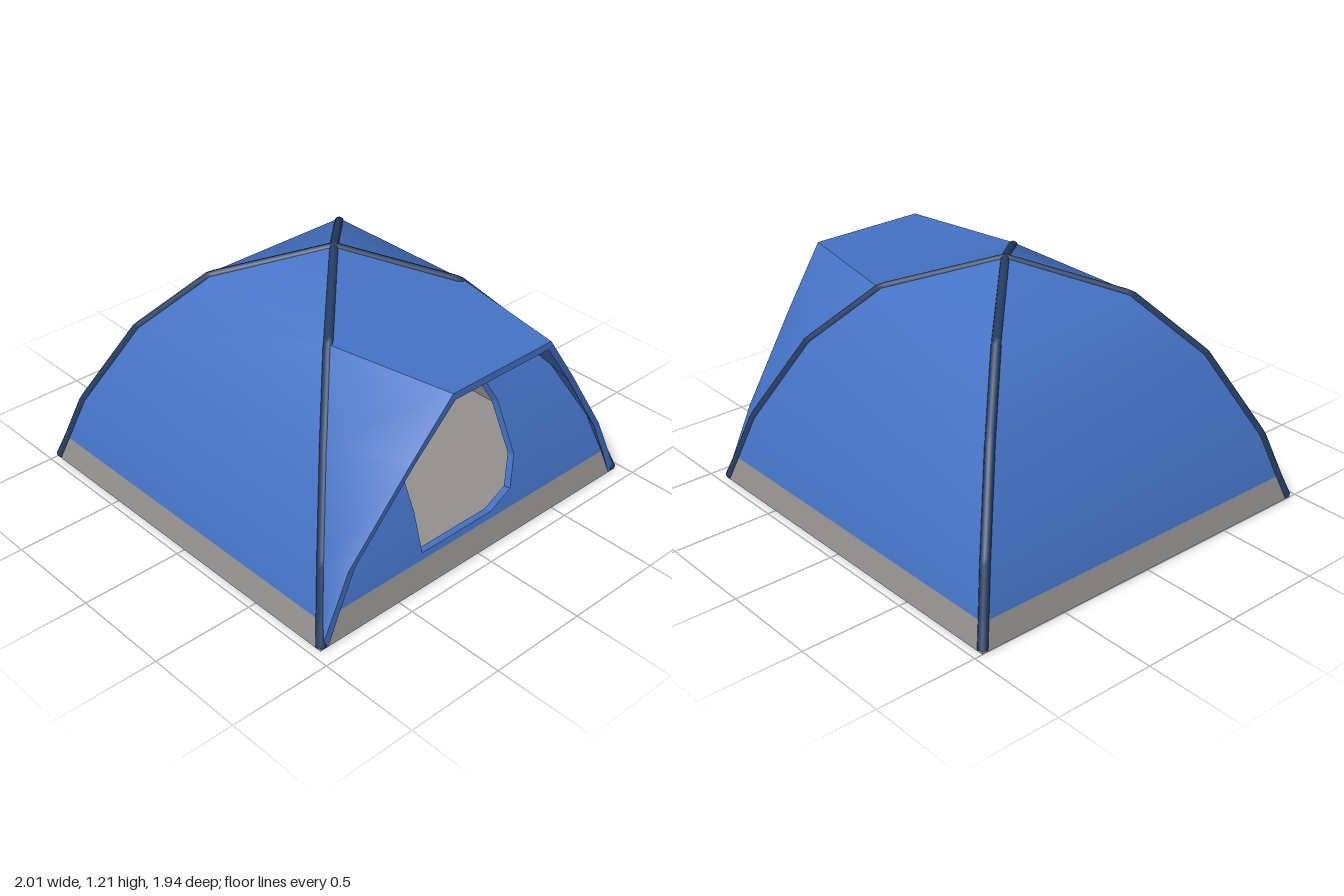
import * as THREE from 'three';
import { mergeVertices } from 'three/addons/utils/BufferGeometryUtils.js';

const CX = -0.04;                       // dome axis
const LEVELS = [[0, 0.96], [0.12, 0.925], [0.34, 0.86], [0.75, 0.66], [1.03, 0.415]]; // y, half width
const APEX = [CX, 1.2, 0];

// Half width of the dome at height y
function halfWidth(y) {
  for (let i = 1; i < LEVELS.length; i++) {
    const [y0, h0] = LEVELS[i - 1], [y1, h1] = LEVELS[i];
    if (y <= y1) return h0 + (h1 - h0) * (y - y0) / (y1 - y0);
  }
  return LEVELS[4][1];
}

// Smooth surface from a list of triangles and quads
function surface(faces) {
  const pos = [];
  for (const f of faces) {
    pos.push(...f[0], ...f[1], ...f[2]);
    if (f.length === 4) pos.push(...f[0], ...f[2], ...f[3]);
  }
  const g = new THREE.BufferGeometry();
  g.setAttribute('position', new THREE.Float32BufferAttribute(pos, 3));
  const merged = mergeVertices(g, 1e-4);
  merged.computeVertexNormals();
  return merged;
}

// Quads between two polylines of equal length
const strip = (a, b) => a.slice(1).map((p, i) => [a[i], b[i], b[i + 1], p]);
const mirrorZ = faces => faces.map(f => f.map(([x, y, z]) => [x, y, -z]));

export function createModel() {
  const tent = new THREE.Group();
  tent.name = 'tent';
  const mat = (name, color) => {
    const m = new THREE.MeshStandardMaterial({ color, side: THREE.DoubleSide });
    m.name = name;
    return m;
  };
  const blue = mat('blueFabric', 0x4472c4);
  const grey = mat('greyGroundsheet', 0x949090);
  const navy = mat('navyPole', 0x243c62);
  const add = (name, geometry, material) => {
    const mesh = new THREE.Mesh(geometry, material);
    mesh.name = name;
    tent.add(mesh);
  };

  // Ridge running up one corner of the dome
  const ridge = (sx, sz) => LEVELS.map(([y, h]) => [CX + sx * h, y, sz * h]);
  const fl = ridge(1, 1), fr = ridge(-1, 1), bl = ridge(1, -1), br = ridge(-1, -1);

  // Hood lips, outer and inner, on the front half
  const lip = [[0.92, 0, 0.96], [0.92, 0.12, 0.904], [0.92, 0.34, 0.8], [0.967, 0.75, 0.51], [1, 1.03, 0.3]];
  const innerLip = [[0.92, 0, 0.915], [0.92, 0.12, 0.865], [0.92, 0.34, 0.765], [0.967, 0.75, 0.475], [1, 0.995, 0.285]];
  const innerRoot = fl.map(([x, y, z], i) => [x - 0.01, i === 4 ? 0.995 : y, z - 0.03]);

  // Front and back panels, each running on into the hood cheek
  const frontFaces = [
    ...strip(fr.slice(1), fl.slice(1)),
    [fr[4], fl[4], APEX],
    ...strip(fl, lip),
  ];
  add('frontPanel', surface(frontFaces), blue);
  add('backPanel', surface(mirrorZ(frontFaces)), blue);

  // Closed side
  add('rightPanel', surface([...strip(br.slice(1), fr.slice(1)), [br[4], fr[4], APEX]]), blue);

  // Roof over the door and hood top
  const flipZ = ([x, y, z]) => [x, y, -z];
  add('hoodRoof', surface([
    [fl[4], bl[4], APEX],
    [lip[4], flipZ(lip[4]), bl[4], fl[4]],
  ]), blue);

  // Hood lining and its lip edge
  const lining = strip(innerLip, innerRoot), edge = strip(lip, innerLip);
  add('hoodLiningFront', surface(lining), blue);
  add('hoodLiningBack', surface(mirrorZ(lining)), blue);
  add('hoodCeiling', surface([[innerRoot[4], flipZ(innerRoot[4]), flipZ(innerLip[4]), innerLip[4]]]), blue);
  add('hoodEdgeFront', surface(edge), blue);
  add('hoodEdgeBack', surface(mirrorZ(edge)), blue);
  add('hoodEdgeTop', surface([[lip[4], innerLip[4], flipZ(innerLip[4]), flipZ(lip[4])]]), blue);

  // Door wall: panels as (z, y) outlines around the doorway, bent along the dome
  const panels = [
    [[0.925, 0.12], [-0.925, 0.12], [-0.86, 0.34], [-0.32, 0.34], [-0.26, 0.2], [-0.12, 0.15],
      [0.32, 0.15], [0.32, 0.34], [0.86, 0.34]],
    [[0.86, 0.34], [0.32, 0.34], [0.32, 0.75], [0.66, 0.75]],
    [[-0.32, 0.34], [-0.86, 0.34], [-0.66, 0.75], [-0.213, 0.75], [-0.26, 0.73], [-0.32, 0.58]],
    [[0.66, 0.75], [0.32, 0.75], [0.32, 0.79], [-0.12, 0.79], [-0.213, 0.75], [-0.66, 0.75],
      [-0.415, 1.03], [0.415, 1.03]],
  ];
  const doorway = [[0.32, 0.15], [-0.12, 0.15], [-0.26, 0.2], [-0.32, 0.34], [-0.32, 0.58], [-0.26, 0.73],
    [-0.213, 0.75], [-0.12, 0.79], [0.32, 0.79], [0.32, 0.75], [0.32, 0.34], [0.32, 0.15]];
  const outer = ([z, y]) => [CX + halfWidth(y), y, z];
  const inner = ([z, y]) => [CX + halfWidth(y) - 0.037, y - 0.03 * y, z];
  const wall = place => surface(panels.flatMap(outline => {
    const pts = outline.map(p => new THREE.Vector2(...p));
    return THREE.ShapeUtils.triangulateShape(pts, []).map(t => t.map(i => place(outline[i])));
  }));
  add('doorWall', wall(outer), blue);
  add('doorWallLining', wall(inner), blue);
  const rim = strip(doorway.map(outer), doorway.map(inner));
  rim.forEach((face, i) => add('doorRim' + (i + 1), surface([face]), blue));

  // Groundsheet: four skirts and the floor
  const corners = [fr, fl, bl, br];
  corners.forEach((a, i) => {
    const b = corners[(i + 1) % 4];
    add('skirt' + (i + 1), surface([[a[0], b[0], b[1], a[1]]]), grey);
  });
  add('floor', surface([[fr[0], br[0], bl[0], fl[0]]]), grey);

  // Two crossing poles lying along the ridges
  for (const s of [1, -1]) {
    const half = sx => LEVELS.map(([y, h]) => new THREE.Vector3(
      CX + sx * (h - 0.012), Math.max(y - 0.006, 0.008), sx * s * (h - 0.012)));
    const pts = [...half(-1), new THREE.Vector3(CX, 1.185, 0), ...half(1).reverse()];
    const path = new THREE.CurvePath();
    for (let i = 1; i < pts.length; i++) path.add(new THREE.LineCurve3(pts[i - 1], pts[i]));
    add(s > 0 ? 'poleA' : 'poleB', new THREE.TubeGeometry(path, 120, 0.023, 8), navy);
  }

  return tent;
}
